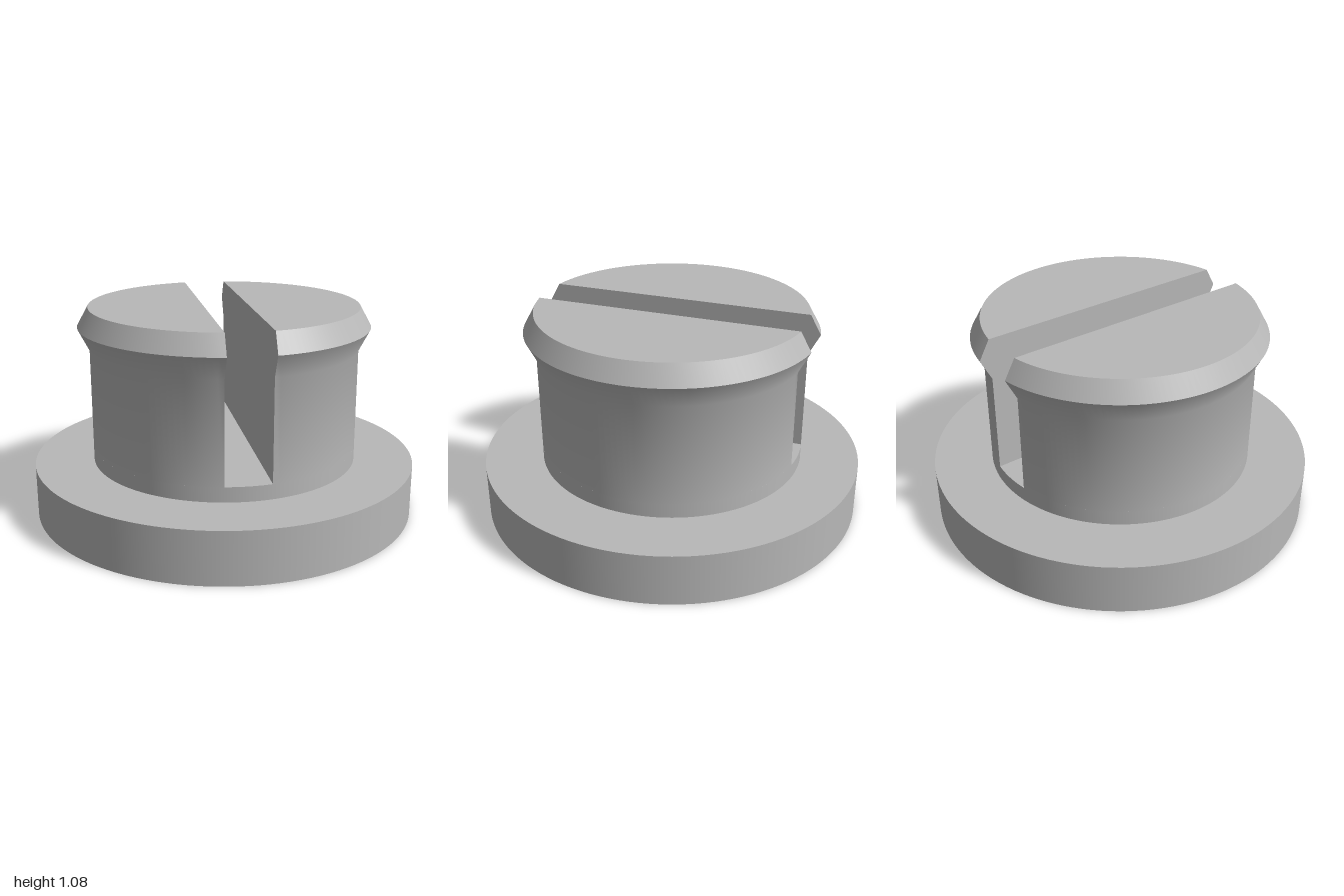
import * as THREE from 'three';
import { toCreasedNormals } from 'three/addons/utils/BufferGeometryUtils.js';

const BASE_TOP = 0.27, SLOT_FLOOR = 0.347, SLOT_HALF = 0.115, BODY_RADIUS = 0.695;

// Radius and height of each level of a prong, from the slot floor to the top
const PROFILE = [[BODY_RADIUS, SLOT_FLOOR], [BODY_RADIUS, 0.865], [0.753, 0.98], [0.697, 1.08]];

// One half of the split plug: an arc on the outside and a flat wall along the slot
function prongGeometry(segments = 64) {
  const loops = PROFILE.map(([r, y]) => {
    const end = Math.acos(SLOT_HALF / r);
    return Array.from({ length: segments + 1 }, (_, i) => {
      const t = -end + (2 * end * i) / segments;
      return [r * Math.cos(t), y, r * Math.sin(t)];
    });
  });
  const positions = [];
  const tri = (a, b, c) => positions.push(...a, ...b, ...c);
  const quad = (a, b, c, d) => { tri(a, b, c); tri(a, c, d); };

  for (let j = 0; j < loops.length - 1; j++) {
    const low = loops[j], high = loops[j + 1];
    for (let i = 0; i < segments; i++) quad(low[i], high[i], high[i + 1], low[i + 1]);
    quad(low[0], low[segments], high[segments], high[0]); // slot wall
  }
  // Flat top
  const top = loops[loops.length - 1];
  const centre = [SLOT_HALF, top[0][1], 0];
  for (let i = 0; i < segments; i++) tri(centre, top[i + 1], top[i]);

  const geometry = new THREE.BufferGeometry();
  geometry.setAttribute('position', new THREE.Float32BufferAttribute(positions, 3));
  return toCreasedNormals(geometry, 0.6);
}

export function createModel() {
  const model = new THREE.Group();
  model.name = 'slottedPlug';
  const grey = new THREE.MeshStandardMaterial({ color: 0xb8b8b8 });
  grey.name = 'grey';

  const add = (name, geometry, y = 0) => {
    const mesh = new THREE.Mesh(geometry, grey);
    mesh.name = name;
    mesh.position.y = y;
    model.add(mesh);
    return mesh;
  };

  // Wide round flange
  add('baseFlange', new THREE.CylinderGeometry(1, 1, BASE_TOP, 128), BASE_TOP / 2);

  // Solid root below the slot
  const rootHeight = SLOT_FLOOR - BASE_TOP;
  add('plugRoot', new THREE.CylinderGeometry(BODY_RADIUS, BODY_RADIUS, rootHeight, 128), BASE_TOP + rootHeight / 2);

  // Two prongs with a snap lip, either side of the slot
  const prong = prongGeometry();
  add('leftProng', prong);
  add('rightProng', prong).rotation.y = Math.PI;

  return model;
}
